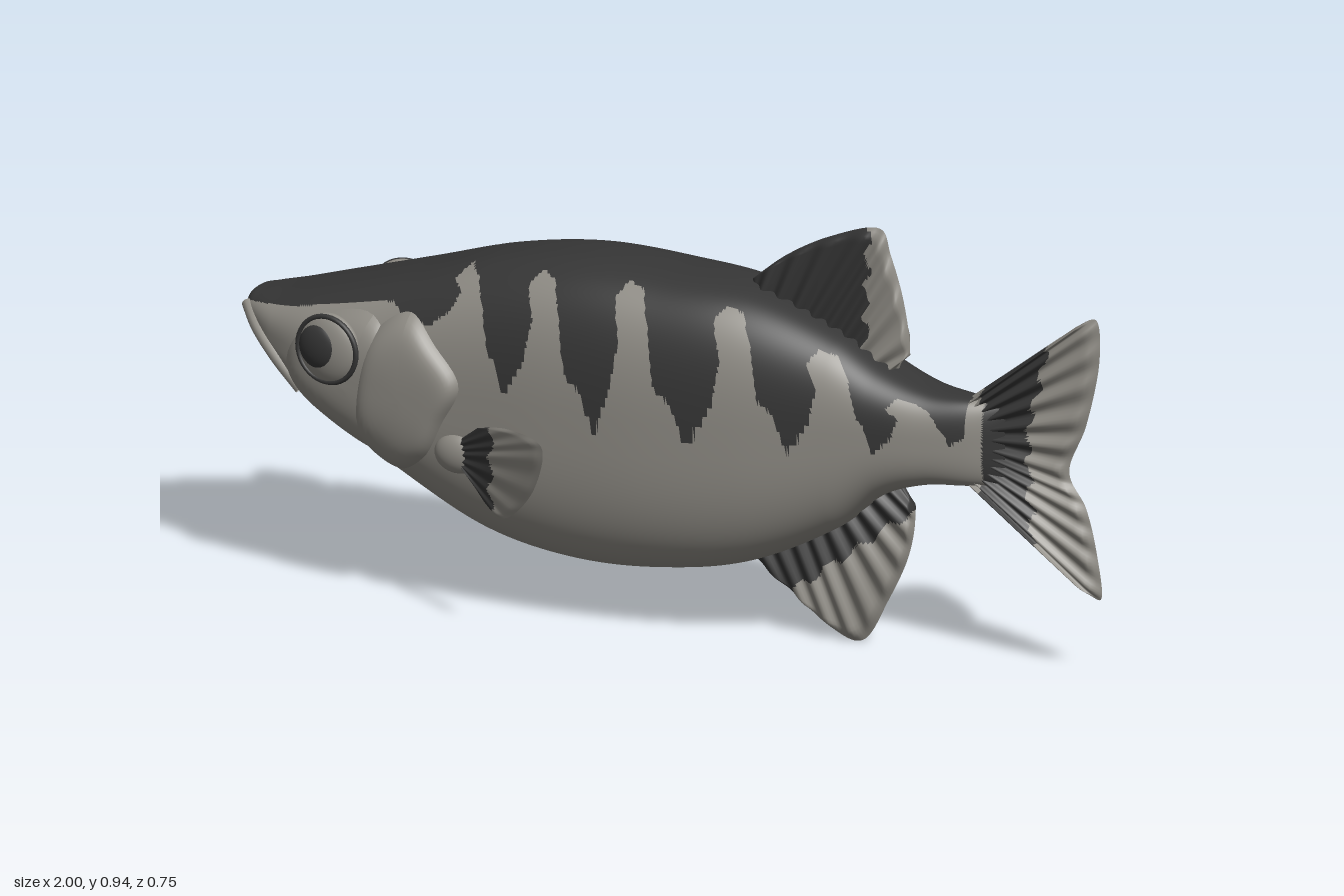
import * as THREE from 'three';

// Body stations: x, top y, bottom y, half width
const STATIONS = [
  [-1, 0.59, 0.585, 0], [-0.99, 0.612, 0.555, 0.05], [-0.96, 0.62, 0.52, 0.09], [-0.9, 0.632, 0.47, 0.135],
  [-0.8, 0.66, 0.395, 0.175], [-0.6, 0.72, 0.27, 0.2], [-0.4, 0.78, 0.165, 0.21], [-0.2, 0.81, 0.125, 0.216],
  [0, 0.805, 0.13, 0.21], [0.2, 0.785, 0.17, 0.185], [0.4, 0.71, 0.27, 0.142], [0.5, 0.65, 0.355, 0.118],
  [0.6, 0.612, 0.392, 0.09], [0.7, 0.6, 0.4, 0.055], [0.78, 0.59, 0.41, 0.015]];
const POWER = 2.8;

// Smooth interpolation of one station column
function column(x, c) {
  const S = STATIONS, last = S.length - 1;
  let i = 0;
  while (i < last - 1 && x > S[i + 1][0]) i++;
  const slope = (k) => {
    const a = S[Math.max(k - 1, 0)], b = S[Math.min(k + 1, last)];
    return (b[c] - a[c]) / (b[0] - a[0]);
  };
  const d = S[i + 1][0] - S[i][0], t = Math.min(1, Math.max(0, (x - S[i][0]) / d)), t2 = t * t, t3 = t2 * t;
  return (2 * t3 - 3 * t2 + 1) * S[i][c] + (t3 - 2 * t2 + t) * d * slope(i)
    + (3 * t2 - 2 * t3) * S[i + 1][c] + (t3 - t2) * d * slope(i + 1);
}

function section(x) {
  const top = column(x, 1), bottom = column(x, 2);
  return { mid: (top + bottom) / 2, h: (top - bottom) / 2, w: Math.max(0, column(x, 3)) };
}

// Half width of the body surface at a side position
function bodyZ(x, y) {
  const s = section(x), k = Math.min(1, Math.abs((y - s.mid) / s.h));
  return s.w * Math.pow(1 - Math.pow(k, POWER), 1 / POWER);
}

// Lower edge of the dark back, dipping into a pointed stripe between light gaps
function backPattern() {
  const tips = [[-0.5, 0.65], [-0.315, 0.52], [-0.1, 0.465], [0.11, 0.46], [0.33, 0.465], [0.51, 0.475], [0.67, 0.5]];
  const gaps = [[-0.41, 0.765], [-0.225, 0.787], [-0.02, 0.79], [0.21, 0.765], [0.42, 0.69], [0.595, 0.6]];
  const p = [[-1.1, 0.6], [-1, 0.6], [-0.85, 0.625], [-0.7, 0.66], [-0.6, 0.68], [-0.56, 0.655]];
  gaps.forEach(([x, y], i) => {
    const a = tips[i], b = tips[i + 1], l = (y - a[1]) * 0.68, r = (y - b[1]) * 0.62;
    p.push(a, [x - 0.045, y - l], [x - 0.032, y - l * 0.5], [x - 0.06, y - 0.025], [x - 0.04, y],
      [x, y - 0.012], [x + 0.03, y - r * 0.4], [x + 0.055, y - r], [(x + 0.055 + b[0]) / 2, y - r * 1.15]);
  });
  p.push(tips[6], [0.7, 0.52], [0.705, 0.64], [0.7, 1.2], [-1.1, 1.2]);
  return p;
}

function inside(p, x, y) {
  let hit = false;
  for (let i = 0, j = p.length - 1; i < p.length; j = i++) {
    if ((p[i][1] > y) !== (p[j][1] > y)
      && x < (p[j][0] - p[i][0]) * (y - p[i][1]) / (p[j][1] - p[i][1]) + p[i][0]) hit = !hit;
  }
  return hit;
}

export function createModel() {
  const model = new THREE.Group();
  model.name = 'stripedFish';
  const light = new THREE.MeshStandardMaterial({ color: 0x8f8c85, side: THREE.DoubleSide });
  light.name = 'silverGrey';
  const dark = new THREE.MeshStandardMaterial({ color: 0x363636, side: THREE.DoubleSide });
  dark.name = 'charcoal';

  function add(name, geometry, material, parent = model) {
    const mesh = new THREE.Mesh(geometry, material);
    mesh.name = name;
    parent.add(mesh);
    return mesh;
  }

  // Grid surface whose faces are light or dark by a rule
  function surface(name, nu, nv, at, isDark, flip = false) {
    const pos = [], sets = [[], []];
    for (let i = 0; i <= nu; i++) for (let j = 0; j <= nv; j++) pos.push(...at(i / nu, j / nv));
    const tri = (a, b, c) => {
      const mean = [0, 1, 2].map((k) => (pos[a * 3 + k] + pos[b * 3 + k] + pos[c * 3 + k]) / 3);
      sets[isDark(...mean) ? 1 : 0].push(a, ...(flip ? [c, b] : [b, c]));
    };
    for (let i = 0; i < nu; i++) for (let j = 0; j < nv; j++) {
      const a = i * (nv + 1) + j, b = a + nv + 1;
      tri(a, b, a + 1);
      tri(b, b + 1, a + 1);
    }
    const g = new THREE.BufferGeometry();
    g.setAttribute('position', new THREE.Float32BufferAttribute(pos, 3));
    g.setIndex([...sets[0], ...sets[1]]);
    g.addGroup(0, sets[0].length, 0);
    g.addGroup(sets[0].length, sets[1].length, 1);
    g.computeVertexNormals();
    return add(name, g, [light, dark]);
  }

  // Body
  const pattern = backPattern();
  const bend = (v) => Math.sign(v) * Math.pow(Math.abs(v), 2 / POWER);
  surface('body', 340, 128, (u, v) => {
    const x = -1 + 1.78 * (u < 0.05 ? u * u / 0.05 : u), s = section(x), a = v * Math.PI * 2 - Math.PI / 2;
    return [x, s.mid + s.h * bend(Math.sin(a)), s.w * bend(Math.cos(a))];
  }, (x, y) => x > 0.735 || inside(pattern, x, y), true);

  // Ribbed fin spanning a root line and an outer edge, with two skins
  const spline = (pts) => new THREE.SplineCurve(pts.map((p) => new THREE.Vector2(...p)));
  function fin(name, root, edge, rays, thick, isDark, centre = () => 0) {
    const r = spline(root), e = spline(edge);
    for (const skin of [1, -1]) {
      surface(name, rays * 8, 28, (u, v) => {
        const p = r.getPoint(u).lerp(e.getPoint(u), v);
        const rim = Math.min(1, u * 14, (1 - u) * 14, (1 - v) * 12);
        const rib = 0.72 + 0.28 * Math.cos(u * rays * Math.PI * 2);
        return [p.x, p.y, centre(p.x) + skin * thick * rim * rib * (1 - 0.45 * v)];
      }, isDark, skin < 0);
    }
  }

  const wave = (t) => 0.01 * Math.sin(t * 90);
  fin('dorsalFin', [[0.18, 0.77], [0.3, 0.73], [0.42, 0.67], [0.52, 0.62]],
    [[0.18, 0.795], [0.26, 0.86], [0.36, 0.915], [0.475, 0.95], [0.505, 0.89], [0.535, 0.79], [0.55, 0.68], [0.53, 0.665]],
    10, 0.034, (x, y) => x < 0.455 + wave(y));
  fin('analFin', [[0.18, 0.18], [0.3, 0.24], [0.42, 0.32], [0.52, 0.4]],
    [[0.18, 0.17], [0.27, 0.1], [0.36, 0.03], [0.44, 0.01], [0.5, 0.11], [0.545, 0.21], [0.562, 0.3], [0.55, 0.35]],
    10, 0.034, (x, y) => y > 0.78 * x - 0.115 + wave(x));
  fin('tailFin', [[0.69, 0.595], [0.7, 0.53], [0.7, 0.47], [0.69, 0.405]],
    [[0.94, 0.79], [0.99, 0.81], [0.995, 0.71], [0.965, 0.57], [0.925, 0.46], [0.965, 0.38], [0.99, 0.28], [1, 0.18], [0.95, 0.205]],
    14, 0.032, (x, y) => x > 0.725 && x < 0.835 + 0.25 * Math.abs(y - 0.5) * (y > 0.6 ? 0.7 : 0.2) + wave(y));

  // Plate lying slightly proud of the body
  function plate(name, side, outline, lift) {
    const curve = new THREE.CatmullRomCurve3(outline.map((p) => new THREE.Vector3(p[0], p[1], 0)), true);
    const mid = outline.reduce((m, p) => [m[0] + p[0] / outline.length, m[1] + p[1] / outline.length], [0, 0]);
    surface(name, 56, 14, (u, v) => {
      const p = curve.getPoint(u), k = 1 - (1 - v) * (1 - v);
      const x = mid[0] + (p.x - mid[0]) * k, y = mid[1] + (p.y - mid[1]) * k;
      return [x, y, side * (bodyZ(x, y) + lift * (1 - Math.pow(k, 9)) - 0.002)];
    }, () => false, side < 0);
  }

  for (const side of [1, -1]) {
    const tag = side > 0 ? 'left' : 'right';

    // Gill cover and cheek
    plate(tag + 'GillCover', side, [[-0.55, 0.67], [-0.48, 0.61], [-0.42, 0.53], [-0.46, 0.44], [-0.51, 0.35],
      [-0.6, 0.3], [-0.67, 0.36], [-0.67, 0.5], [-0.63, 0.62]], 0.03);
    plate(tag + 'Cheek', side, [[-0.64, 0.65], [-0.57, 0.55], [-0.56, 0.43], [-0.62, 0.34], [-0.72, 0.36],
      [-0.82, 0.43], [-0.85, 0.52], [-0.78, 0.62]], 0.022);

    // Upper lip
    const lip = [[-0.985, 0.595], [-0.94, 0.56], [-0.88, 0.51], [-0.82, 0.45]]
      .map(([x, y]) => new THREE.Vector3(x, y, side * bodyZ(x, y)));
    add(tag + 'Lip', new THREE.TubeGeometry(new THREE.CatmullRomCurve3(lip), 24, 0.013, 10), light);

    // Eye
    const eye = new THREE.Group();
    eye.name = tag + 'Eye';
    eye.position.set(-0.73, 0.57, side * (bodyZ(-0.73, 0.57) + 0.012));
    eye.rotation.y = side > 0 ? -0.15 : Math.PI + 0.15;
    model.add(eye);
    const ball = new THREE.SphereGeometry(1, 32, 20);
    add('eyeball', ball, light, eye).scale.set(0.076, 0.08, 0.032);
    const pupil = add('pupil', ball, dark, eye);
    pupil.scale.set(0.05, 0.05, 0.02);
    pupil.position.set(-0.015 * side, 0.005, 0.018);
    add('eyeRim', new THREE.TorusGeometry(0.074, 0.006, 8, 40), dark, eye).position.z = 0.011;

    // Pectoral fin and its fleshy base
    const base = add(tag + 'PectoralBase', ball, light);
    base.scale.set(0.055, 0.045, 0.028);
    base.position.set(-0.425, 0.375, side * 0.2);
    fin(tag + 'PectoralFin', [[-0.43, 0.4], [-0.43, 0.38], [-0.42, 0.36], [-0.41, 0.35]],
      [[-0.36, 0.455], [-0.27, 0.483], [-0.17, 0.488], [-0.148, 0.455], [-0.18, 0.37], [-0.24, 0.3], [-0.29, 0.275], [-0.34, 0.295]],
      7, 0.01, (x, y) => x > -0.41 && x < -0.315 + wave(y),
      (x) => side * (0.2 + 0.62 * (x + 0.43)));
  }
  return model;
}
